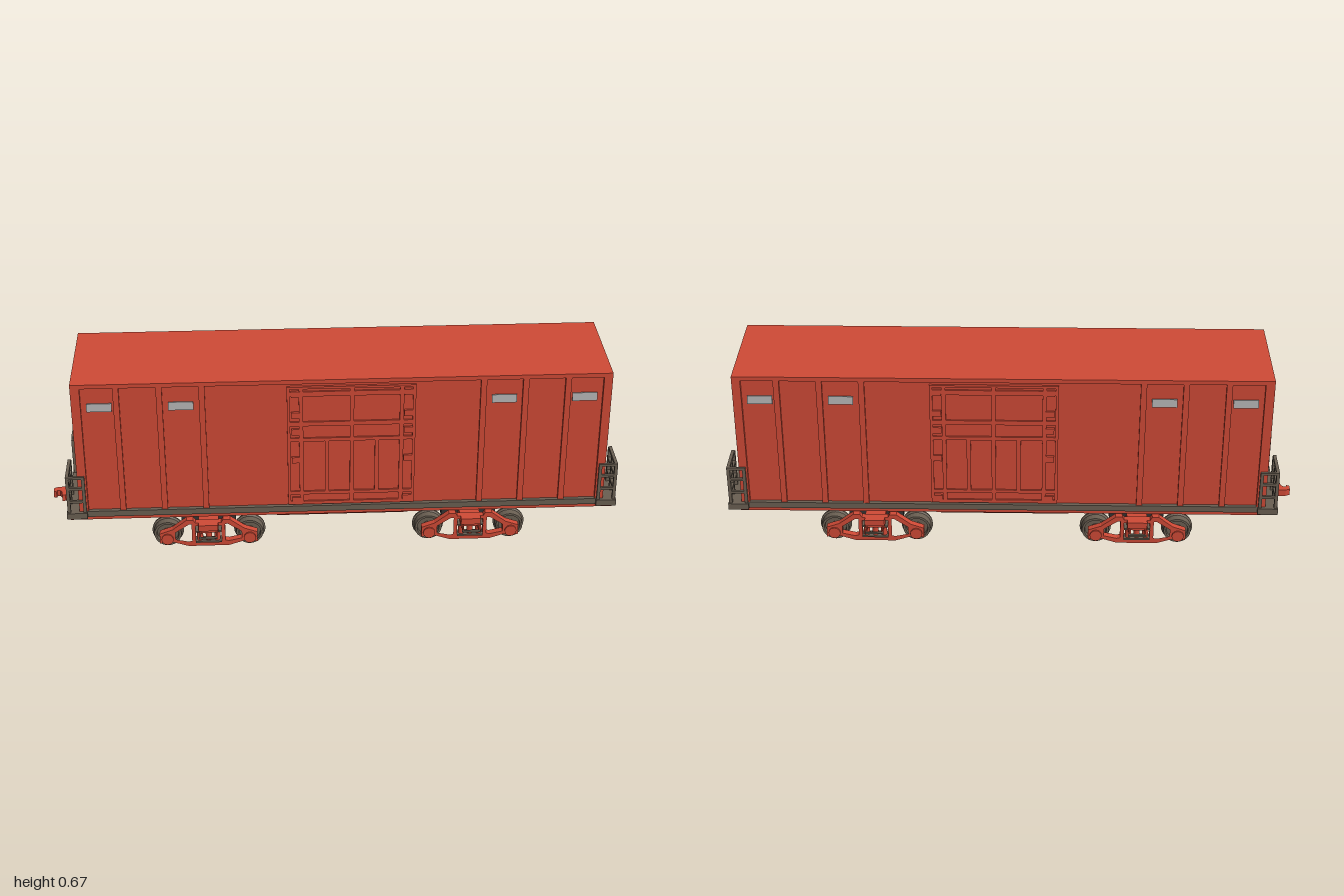
import * as THREE from 'three';

const mat = (color, opts = {}) => new THREE.MeshStandardMaterial({ color, ...opts });
const RED = mat(0xd04a36), TRIM = mat(0x6a5f52), LABEL = mat(0xaaaaaa), DARK = mat(0x333333);
const MID = 0.015; // the body sits slightly off centre between the couplers

function add(parent, name, geo, material) {
  const m = new THREE.Mesh(geo, material);
  m.name = name;
  parent.add(m);
  return m;
}

// Box given by its two opposite corners, in any order
function box(parent, name, material, x0, x1, y0, y1, z0, z1) {
  const g = new THREE.BoxGeometry(Math.abs(x1 - x0), Math.abs(y1 - y0), Math.abs(z1 - z0));
  g.translate((x0 + x1) / 2, (y0 + y1) / 2, (z0 + z1) / 2);
  return add(parent, name, g, material);
}

const pts = (list) => list.map(([x, y]) => new THREE.Vector2(x, y));

// Side profile extruded across z
function profile(parent, name, material, outline, z0, z1, holes = []) {
  const s = new THREE.Shape(pts(outline));
  holes.forEach((h) => s.holes.push(new THREE.Path(pts(h))));
  const g = new THREE.ExtrudeGeometry(s, { depth: z1 - z0, bevelEnabled: false });
  g.translate(0, 0, z0);
  return add(parent, name, g, material);
}

const mirrorX = (half) => [...half, ...half.map(([x, y]) => [-x, y]).reverse()];

function group(parent, name) {
  const g = new THREE.Group();
  g.name = name;
  parent.add(g);
  return g;
}

// One sliding door with its raised grid of bars
function buildDoor(parent, s) {
  const d = group(parent, 'slidingDoor');
  const bar = (x0, x1, y0, y1, z = 0.189) => box(d, 'doorBar', RED, x0, x1, y0, y1, s * 0.18, s * z);
  box(d, 'doorPanel', RED, -0.174, 0.26, 0.18, 0.642, s * 0.178, s * 0.183);
  for (const [y0, y1] of [[0.182, 0.194], [0.222, 0.234], [0.432, 0.445], [0.492, 0.508], [0.606, 0.624], [0.634, 0.642]])
    bar(-0.17, 0.256, y0, y1);
  for (const [x0, x1] of [[-0.174, -0.164], [-0.134, -0.12], [0.038, 0.052], [0.206, 0.22], [0.25, 0.26]])
    bar(x0, x1, 0.182, 0.642);
  for (const x of [-0.04, 0.13]) bar(x - 0.007, x + 0.007, 0.234, 0.432);
  // roller brackets and latches
  for (const x of [-0.145, 0.236])
    for (const y of [0.2, 0.36, 0.47, 0.535, 0.615]) bar(x - 0.015, x + 0.015, y - 0.011, y + 0.011, 0.191);
}

function buildBody(parent) {
  const b = group(parent, 'carBody');
  box(b, 'bodyCore', RED, -0.885, 0.92, 0.165, 0.66, -0.18, 0.18);
  box(b, 'roof', RED, -0.892, 0.92, 0.655, 0.67, -0.192, 0.192);
  for (const s of [1, -1]) {
    for (const e of [1, -1]) {
      box(b, 'cornerPost', RED, e > 0 ? 0.92 : -0.892, MID + e * 0.876, 0.165, 0.66, s * 0.17, s * 0.192);
      for (const r of [0.472, 0.614, 0.757])
        box(b, 'sideRib', RED, MID + e * r - 0.01, MID + e * r + 0.01, 0.165, 0.66, s * 0.17, s * 0.191);
      // tilted reporting plates under the eaves
      for (const x of [0.543, 0.815]) {
        const p = box(b, 'sidePlate', LABEL, -0.042, 0.042, -0.014, 0.014, -0.003, 0.003);
        p.position.set(MID + e * x, 0.581, s * 0.187);
        p.rotation.x = -s * 0.2;
      }
    }
    buildDoor(b, s);
  }
  // end wall with a plate band and raised framing
  box(b, 'endPlate', LABEL, -0.88, -0.889, 0.597, 0.648, -0.178, 0.178);
  for (const [y0, y1] of [[0.165, 0.18], [0.5, 0.512], [0.582, 0.597]])
    box(b, 'endRail', RED, -0.88, -0.89, y0, y1, -0.18, 0.18);
}

// Open lattice made of bars; place(u, y) axes run along x or z
function buildRailings(parent, e, s) {
  const r = group(parent, 'endRailing');
  const xo = MID + e * 0.947, xi = MID + e * 0.882, w = 0.011;
  const across = (a, b, y0, y1) => box(r, 'railBar', TRIM, xo, xo - e * w, y0, y1, s * a, s * b);
  for (const z of [0.2, 0.141, 0.079]) across(z, z - w, 0.17, z < 0.1 ? 0.31 : 0.319);
  for (const y of [0.216, 0.267]) across(0.2, 0.068, y, y + 0.009);
  across(0.2, 0.078, 0.309, 0.319);
  for (const x of [xo, xi + e * w]) box(r, 'railPost', TRIM, x, x - e * w, 0.17, 0.319, s * 0.2, s * 0.19);
  for (const y of [0.216, 0.267, 0.31])
    box(r, 'railBar', TRIM, xo, xi, y, y + 0.009, s * 0.2, s * 0.191);
}

function buildUnderframe(parent) {
  const u = group(parent, 'underframe');
  box(u, 'deck', TRIM, -0.935, 0.965, 0.156, 0.178, -0.194, 0.194);
  box(u, 'floorFrame', RED, -0.925, 0.955, 0.139, 0.157, -0.183, 0.183);
  // centre structure with sloped ends, dark inside red side plates
  const hull = mirrorX([[-0.685, 0.14], [-0.635, 0.112], [-0.28, 0.112]]);
  profile(u, 'centreStructure', DARK, hull, -0.134, 0.134).position.x = MID;
  for (const s of [1, -1])
    profile(u, 'sideSill', RED, hull, s > 0 ? 0.133 : -0.139, s > 0 ? 0.139 : -0.133).position.x = MID;
  // belly tapering downwards between the bogies
  const belly = new THREE.BoxGeometry(0.56, 0.034, 0.27);
  const p = belly.attributes.position;
  for (let i = 0; i < p.count; i++)
    if (p.getY(i) < 0) p.setXYZ(i, p.getX(i) * 0.78, p.getY(i), p.getZ(i) * 0.7);
  belly.computeVertexNormals();
  add(u, 'belly', belly, RED).position.set(MID, 0.097, 0);

  for (const e of [1, -1]) {
    const x = (d) => MID + e * d;
    box(u, 'endPlatform', TRIM, x(0.95), x(0.88), 0.155, 0.178, -0.206, 0.206);
    for (const s of [1, -1]) buildRailings(u, e, s);
    // draft box and coupler, turned about for the other end
    const end = group(u, 'couplerAssembly');
    end.rotation.y = e > 0 ? 0 : Math.PI;
    end.position.x = 0;
    const o = e > 0 ? 0 : -0.03;
    const draft = [[0.82, 0.14], [0.865, 0.087], [0.925, 0.087], [0.94, 0.14]].map(([a, b]) => [a + o, b]);
    profile(end, 'draftBox', RED, draft, -0.056, 0.056);
    for (const s of [1, -1])
      profile(end, 'draftWing', RED, draft.map(([a, b]) => [a - 0.008, b]), s > 0 ? 0.05 : -0.084, s > 0 ? 0.084 : -0.05);
    box(end, 'strikerPlate', TRIM, 0.93 + o, 0.945 + o, 0.118, 0.138, -0.04, 0.04);
    const knuckle = new THREE.ExtrudeGeometry(new THREE.Shape(pts([
      [0.88, -0.014], [0.95, -0.014], [0.957, -0.028], [0.968, -0.03], [0.97, -0.008], [0.978, 0.003],
      [0.988, 0.004], [0.99, -0.006], [1, -0.004], [1, 0.02], [0.985, 0.027], [0.955, 0.028], [0.945, 0.014], [0.88, 0.014],
    ])), { depth: 0.024, bevelEnabled: false });
    knuckle.rotateX(Math.PI / 2);
    knuckle.translate(0, 0.145, 0);
    add(end, 'coupler', knuckle, RED);
  }
}

function cyl(parent, name, material, r, len, x, y, z, axis = 'z', sides = 20) {
  const g = new THREE.CylinderGeometry(r, r, len, sides);
  if (axis === 'z') g.rotateX(Math.PI / 2);
  g.translate(x, y, z);
  return add(parent, name, g, material);
}

// Wheel section: tread, inner flange, dished web and hub
const wheelGeo = new THREE.LatheGeometry(pts([
  [0, -0.02], [0.016, -0.02], [0.018, -0.008], [0.042, -0.008], [0.044, -0.018], [0.054, -0.018], [0.055, -0.01],
  [0.049, -0.006], [0.047, 0.018], [0.039, 0.018], [0.037, 0.006], [0.018, 0.006], [0.016, 0.016], [0, 0.016],
]), 28).toNonIndexed();
wheelGeo.computeVertexNormals();
wheelGeo.rotateX(Math.PI / 2);

function buildBogie(parent, x) {
  const t = group(parent, 'bogie');
  t.position.x = x;
  box(t, 'bogieBolster', DARK, -0.095, 0.095, 0.074, 0.113, -0.125, 0.125);
  box(t, 'crossBeam', RED, -0.035, 0.035, 0.085, 0.115, -0.205, 0.205);
  for (const a of [-0.143, 0.143]) {
    cyl(t, 'axle', RED, 0.016, 0.39, a, 0.055, 0);
    for (const s of [1, -1]) {
      const w = add(t, 'wheel', wheelGeo, TRIM);
      w.position.set(a, 0.055, s * 0.141);
      w.rotation.y = s > 0 ? 0 : Math.PI;
      cyl(t, 'axleCap', RED, 0.021, 0.034, a, 0.055, s * 0.18, 'z', 12);
      cyl(t, 'wheelHub', RED, 0.024, 0.012, a, 0.055, s * 0.118);
    }
  }
  const outline = mirrorX([[-0.17, 0.038], [-0.17, 0.076], [-0.125, 0.092], [-0.075, 0.13], [-0.052, 0.13], [-0.045, 0.118]]
    ).concat(mirrorX([[0.12, 0.04], [0.07, 0.024]]));
  const tri = [[-0.115, 0.08], [-0.068, 0.112], [-0.058, 0.112], [-0.058, 0.045], [-0.07, 0.042], [-0.115, 0.052]];
  const holes = [
    [[-0.045, 0.042], [0.045, 0.042], [0.045, 0.106], [-0.045, 0.106]],
    tri, tri.map(([a, b]) => [-a, b]),
  ];
  for (const s of [1, -1]) {
    profile(t, 'sideFrame', RED, outline, s > 0 ? 0.168 : -0.192, s > 0 ? 0.192 : -0.168, holes);
    // springs between dark seats
    for (const a of [-0.03, 0, 0.03]) cyl(t, 'spring', RED, 0.011, 0.045, a, 0.064, s * 0.182, 'y', 10);
    for (const y of [0.04, 0.082]) box(t, 'springSeat', TRIM, -0.045, 0.045, y, y + 0.006, s * 0.165, s * 0.198);
    box(t, 'bolsterEnd', RED, -0.034, 0.034, 0.096, 0.119, s * 0.19, s * 0.212);
    // outer rod held by slanted stays
    box(t, 'outerRod', TRIM, -0.032, 0.032, 0.078, 0.084, s * 0.228, s * 0.236);
    for (const a of [-0.028, 0.028])
      for (const y of [0.076, 0.096]) {
        const path = new THREE.LineCurve3(new THREE.Vector3(a, y, s * 0.19), new THREE.Vector3(a, 0.081, s * 0.232));
        add(t, 'rodStay', new THREE.TubeGeometry(path, 1, 0.0025, 6), RED);
      }
  }
}

export function createModel() {
  const model = new THREE.Group();
  model.name = 'boxcar';
  buildBody(model);
  buildUnderframe(model);
  for (const x of [-0.453, 0.46]) buildBogie(model, x);
  return model;
}
